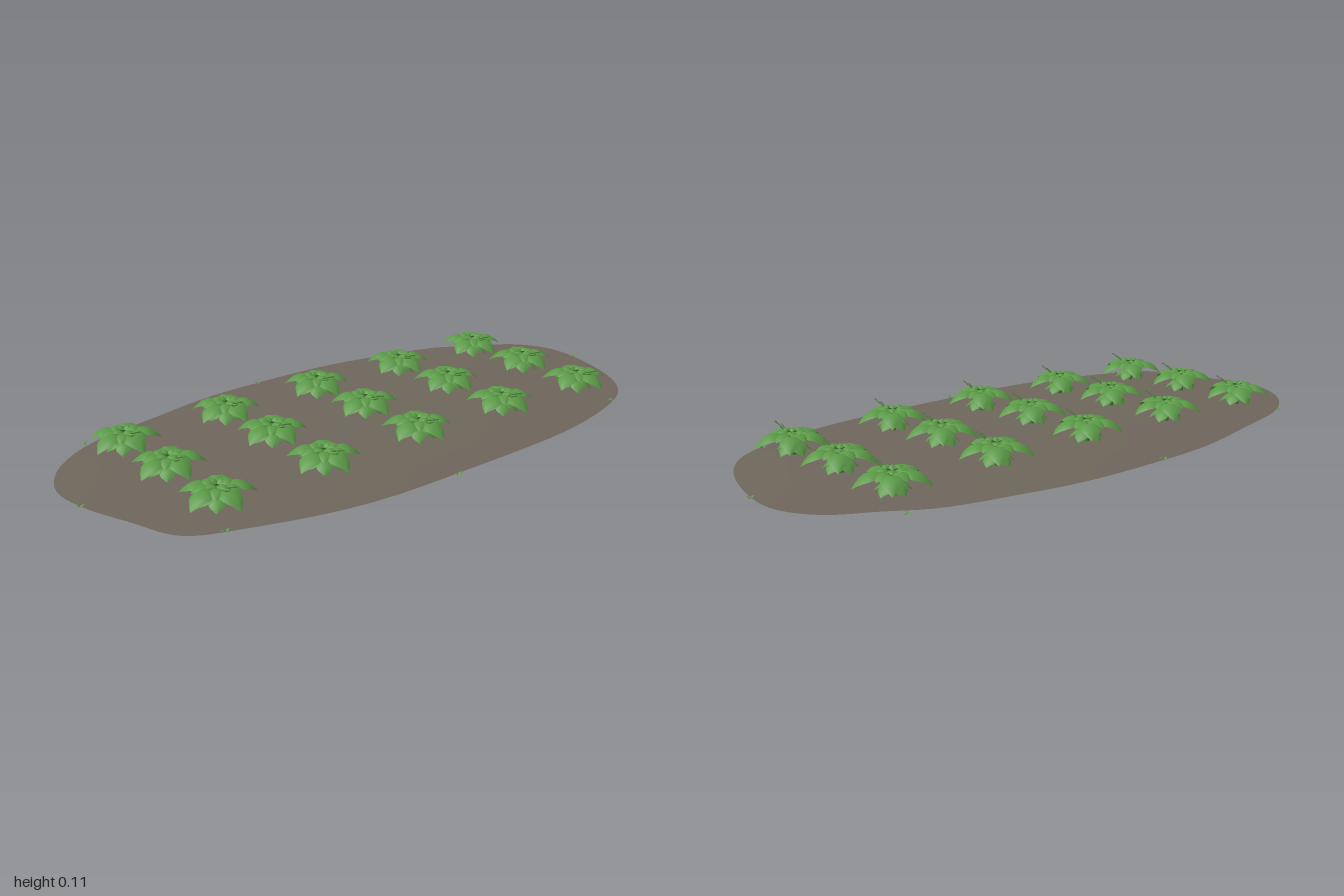
import * as THREE from 'three';

const soil = new THREE.MeshStandardMaterial({ color: 0x6e665b });
const leafGreen = new THREE.MeshStandardMaterial({ color: 0x5b9a47, side: THREE.DoubleSide });
const stemGreen = new THREE.MeshStandardMaterial({ color: 0x4a8139, side: THREE.DoubleSide });
soil.name = 'soil'; leafGreen.name = 'leaf green'; stemGreen.name = 'stem green';

// Outline of the bed as [x, z]
const OUTLINE = [
  [0, -0.5], [0.25, -0.49], [0.46, -0.45], [0.67, -0.395], [0.8, -0.315], [0.92, -0.24], [0.985, -0.13],
  [0.985, 0], [0.91, 0.23], [0.81, 0.35], [0.65, 0.42], [0.41, 0.47], [0.03, 0.485], [-0.4, 0.475],
  [-0.72, 0.39], [-0.87, 0.32], [-0.93, 0.17], [-0.985, 0], [-0.99, -0.13], [-0.92, -0.26],
  [-0.77, -0.37], [-0.5, -0.44], [-0.26, -0.49],
];
const EDGE = 0.003, RISE = 0.019;

function indexed(positions, indices) {
  const g = new THREE.BufferGeometry();
  g.setAttribute('position', new THREE.Float32BufferAttribute(positions, 3));
  g.setIndex(indices);
  g.computeVertexNormals();
  return g;
}

// Rings shrinking towards the centre; up = 1 for the top, -1 for the underside
function bedSurface(height, up) {
  const curve = new THREE.CatmullRomCurve3(OUTLINE.map(([x, z]) => new THREE.Vector3(x, 0, z)), true);
  const n = 96, rings = 8, pts = curve.getPoints(n).slice(0, n), pos = [], idx = [];
  for (let r = 0; r <= rings; r++) {
    const s = r / rings;
    for (const p of pts) pos.push(p.x * s, height(s), p.z * s);
  }
  for (let r = 0; r < rings; r++) for (let i = 0; i < n; i++) {
    const a = r * n + i, b = r * n + (i + 1) % n, c = a + n, d = b + n;
    const tris = r ? [a, b, c, b, d, c] : [a, d, c];
    for (let k = 0; k < tris.length; k += 3) {
      if (up > 0) idx.push(tris[k], tris[k + 1], tris[k + 2]);
      else idx.push(tris[k], tris[k + 2], tris[k + 1]);
    }
  }
  // Check the winding with one outer triangle
  const g = indexed(pos, idx);
  if (g.attributes.normal.getY(4 * n) * up < 0) {
    g.setIndex(idx.reverse());
    g.computeVertexNormals();
  }
  return g;
}

// Arched leaf along +z with a folded midrib: y = a*t - b*t*t
function leafGeometry(length, width, a, b) {
  const rows = 8, cols = 4, pos = [], idx = [];
  for (let i = 0; i <= rows; i++) {
    const t = i / rows;
    const half = 0.5 * width * (0.1 * (1 - t) + Math.sin(Math.PI * Math.pow(t, 1.15)));
    for (let j = 0; j <= cols; j++) {
      const v = (j / cols) * 2 - 1, av = Math.abs(v);
      const fold = width * (0.22 * av - 0.38 * av * av) * Math.sin(Math.PI * t);
      pos.push(v * half, a * t - b * t * t + fold, length * t);
    }
  }
  for (let i = 0; i < rows; i++) for (let j = 0; j < cols; j++) {
    const p = i * (cols + 1) + j, q = p + cols + 1;
    idx.push(p, q, p + 1, q, q + 1, p + 1);
  }
  return indexed(pos, idx);
}

function ring(name, geometry, count, turn, radius, y) {
  const group = new THREE.Group();
  group.name = name;
  for (let k = 0; k < count; k++) {
    const leaf = new THREE.Mesh(geometry, leafGreen), angle = turn + (k / count) * Math.PI * 2;
    leaf.name = 'leaf';
    leaf.rotation.y = angle;
    leaf.position.set(Math.sin(angle) * radius, y, Math.cos(angle) * radius);
    group.add(leaf);
  }
  return group;
}

function createPlant() {
  const plant = new THREE.Group();
  plant.name = 'plant';
  const stem = new THREE.Mesh(new THREE.CylinderGeometry(0.006, 0.009, 0.055, 8), stemGreen);
  stem.name = 'stem';
  stem.position.y = 0.025;
  plant.add(stem);
  const half = Math.PI / 5;
  plant.add(ring('outerLeaves', leafGeometry(0.108, 0.062, 0.105, 0.118), 5, 0, 0.004, 0.042));
  plant.add(ring('middleLeaves', leafGeometry(0.068, 0.044, 0.06, 0.06), 5, half, 0.004, 0.052));
  plant.add(ring('lowerLeaves', leafGeometry(0.05, 0.042, 0.01, 0.04), 5, half, 0.005, 0.036));
  plant.add(ring('innerLeaves', leafGeometry(0.04, 0.03, 0.04, 0.03), 5, 0, 0.002, 0.06));
  plant.add(ring('heartLeaves', leafGeometry(0.02, 0.016, 0.025, 0.01), 5, half, 0.001, 0.062));
  // Thin shoots rising over the front leaf
  [[0.006, 0.085], [-0.006, 0.076]].forEach(([x, y], i) => {
    const path = new THREE.QuadraticBezierCurve3(
      new THREE.Vector3(x, 0.06, 0.02), new THREE.Vector3(x, y - 0.012, 0.05),
      new THREE.Vector3(x * 1.2, y, 0.083 - i * 0.01));
    const shoot = new THREE.Mesh(new THREE.TubeGeometry(path, 6, 0.0018, 5), stemGreen);
    shoot.name = 'shoot';
    plant.add(shoot);
  });
  return plant;
}

export function createModel() {
  const model = new THREE.Group();
  model.name = 'plantBed';

  // Low mound of soil
  const moundHeight = s => EDGE + RISE * (1 - s * s);
  const top = new THREE.Mesh(bedSurface(moundHeight, 1), soil);
  top.name = 'soilMound';
  const under = new THREE.Mesh(bedSurface(s => EDGE * s, -1), soil);
  under.name = 'soilUnderside';
  model.add(top, under);

  // Three rows of five plants
  const plant = createPlant();
  for (const z of [-0.243, 0.002, 0.248]) for (let i = -2; i <= 2; i++) {
    const p = plant.clone(), x = i * 0.355 - 0.004;
    p.position.set(x, moundHeight(Math.min(1, Math.hypot(x / 1.05, z / 0.55))) - 0.001, z);
    model.add(p);
  }

  // Tiny weeds around the rim
  const weedLeaf = leafGeometry(0.014, 0.008, 0.014, 0.008);
  const weeds = [[-0.07, 0.495], [-0.07, -0.495], [0.76, -0.375], [0.73, 0.385],
    [-0.77, -0.38], [-0.77, 0.37], [0.987, 0], [-0.987, 0]];
  weeds.forEach(([x, z], i) => {
    const weed = ring('weed', weedLeaf, 3, i * 0.8, 0, 0);
    weed.position.set(x, 0.001, z);
    model.add(weed);
  });
  return model;
}
